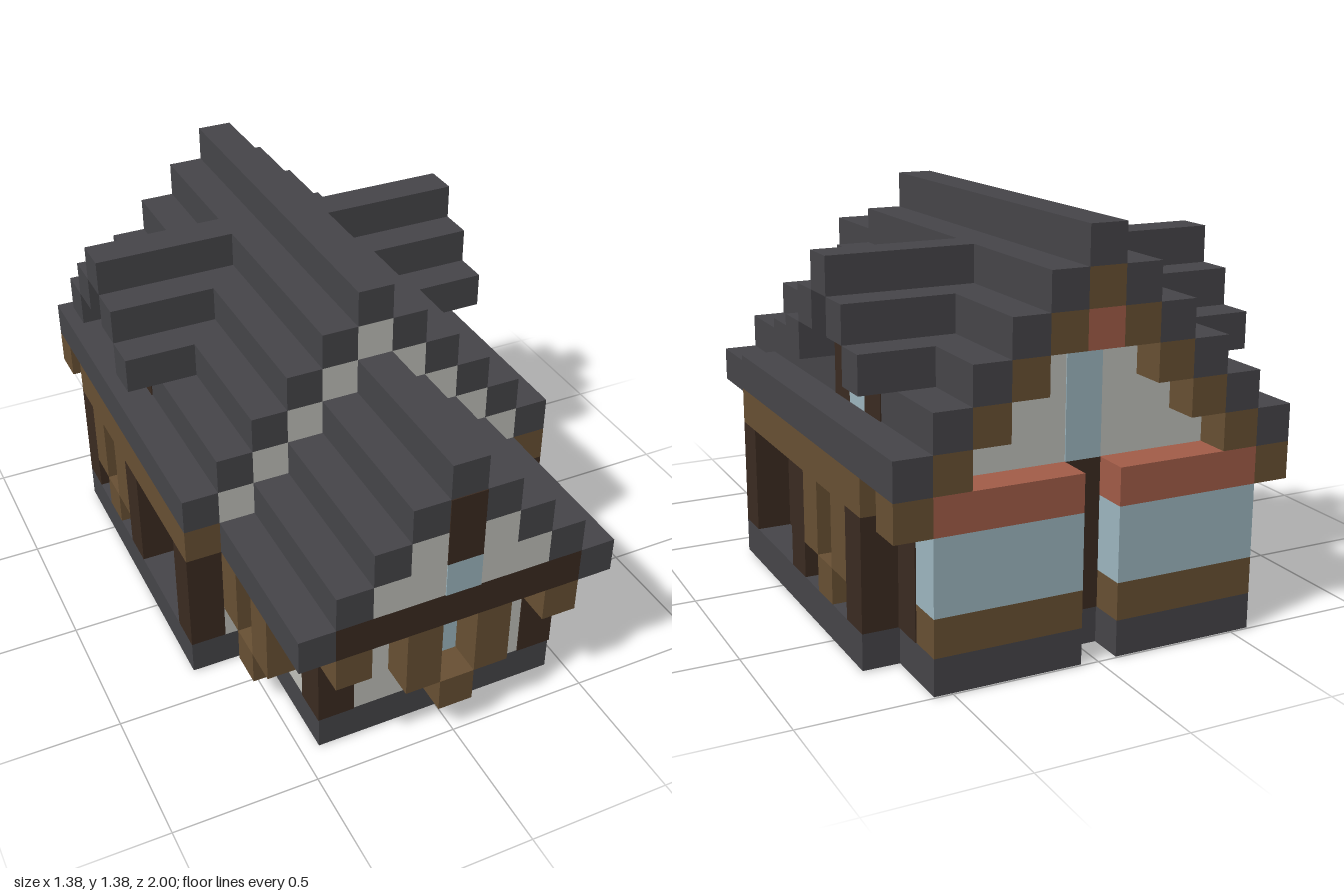
import * as THREE from 'three';

const U = 0.125; // one block
const P = 0.03;  // how far painted faces stand proud, in blocks

export function createModel() {
  const model = new THREE.Group();
  model.name = 'blockHouse';

  const mat = (name, color) => {
    const m = new THREE.MeshStandardMaterial({ color });
    m.name = name;
    return m;
  };
  const slate = mat('slate grey', 0x464549);
  const plaster = mat('plaster white', 0xc0c1bb);
  const timber = mat('timber brown', 0x685033);
  const dark = mat('dark timber', 0x3b2b21);
  const glass = mat('pale glass', 0x9eb7c0);
  const clay = mat('terracotta', 0xa25c48);

  // Box given by its limits in blocks
  const box = (name, m, x0, x1, y0, y1, z0, z1) => {
    const g = new THREE.BoxGeometry((x1 - x0) * U, (y1 - y0) * U, (z1 - z0) * U);
    g.translate((x0 + x1) / 2 * U, (y0 + y1) / 2 * U, (z0 + z1) / 2 * U);
    const mesh = new THREE.Mesh(g, m);
    mesh.name = name;
    model.add(mesh);
  };
  // Same box on both sides of the house
  const pair = (name, m, x0, x1, ...rest) => {
    box(name, m, x0, x1, ...rest);
    box(name, m, -x1, -x0, ...rest);
  };

  // Foundation and floors showing underneath
  box('foundation', slate, -5.5, 5.5, P, 1, -6, 3);
  box('foundation', slate, -4.5, 4.5, P, 1, -7, -6);
  box('wingFoundation', slate, -3.5, 3.5, P, 1, 3, 7);
  pair('bayFoundation', slate, 0.5, 4.5, P, 1, -8, -7);
  box('mainFloor', timber, -3.5, 3.5, 0, 0.5, -5, 1);
  box('wingFloor', timber, -2.5, 2.5, 0, 0.5, 3, 6);

  // Ground floor walls
  box('mainWall', plaster, -4.5, 4.5, 1, 5, -7, 3);
  box('wingWall', plaster, -3.5, 3.5, 1, 5, 2, 7);

  // Main gable and stepped roof with timber edge boards at the back
  for (let y = 5; y <= 10; y++) {
    const x = 10 - y;
    if (y < 10) box('mainGable', plaster, -(9.5 - y), 9.5 - y, y, y + 1, -7, 3);
    if (x === 0) {
      box('mainRidge', slate, -0.5, 0.5, y, y + 1, -8, 3);
      box('backEdgeBoard', timber, -0.5, 0.5, y - 1, y, -8, -7);
    } else {
      pair('mainRoofStep', slate, x - 0.5, x + 0.5, y, y + 1, -8, 3);
      pair('backEdgeBoard', timber, x - 0.5, x + 0.5, y - 1, y, -8, -7);
    }
  }
  box('backGableOrnament', clay, -0.5, 0.5, 8, 9, -8, -7);
  box('backGableWindow', glass, -0.5, 0.5, 5, 8, -7 - P, -6);
  pair('eaveBeam', timber, 4.5, 5.5, 4, 5, -6, 3);

  // Front wing gable and roof
  for (let y = 4; y <= 8; y++) {
    const x = 8 - y;
    if (y > 4 && y < 8) box('wingGable', plaster, -(7.5 - y), 7.5 - y, y, y + 1, 2, 8);
    if (x === 0) box('wingRidge', slate, -0.5, 0.5, y, y + 1, 3, 8);
    else pair('wingRoofStep', slate, x - 0.5, x + 0.5, y, y + 1, 3, 8);
  }
  box('frontBeam', dark, -3.5, 3.5, 4, 5, 7, 8);
  box('frontGablePost', dark, -0.5, 0.5, 6, 8, 7, 8 + P);
  box('frontGableWindow', glass, -0.5, 0.5, 5, 6, 7, 8 + P);

  // Wing corners and brackets under the jetty
  pair('wingPost', dark, 2.5, 3.5 + P, 1, 4, 6, 7 + P);
  pair('frontBracket', timber, 2.5, 3.5, 3, 4, 7, 8);

  // Front window with shutters and flower box
  box('frontWindow', glass, -0.5, 0.5, 2, 4, 6, 7 + P);
  pair('frontShutter', timber, 0.5, 1.5, 2, 4, 7, 8);
  box('frontFlowerBox', timber, -0.5, 0.5, 1, 2, 7, 8);

  // Side windows: on the wing and on the main house
  for (const [wall, z] of [[3.5, 4.5], [4.5, -3.5]]) {
    pair('sideWindow', glass, wall - 0.5, wall + P, 2, 4, z - 0.5, z + 0.5);
    pair('sideFlowerBox', timber, wall, wall + 1, 1, 2, z - 0.5, z + 0.5);
    for (const s of [-1, 1])
      pair('sideShutter', timber, wall, wall + 1, 2, 4, z + s - 0.5, z + s + 0.5);
  }

  // Posts along the sides
  for (const z of [2, -2, -6]) pair('sidePost', dark, 4.5, 5.5, 1, 4, z, z + 1);
  pair('innerPost', dark, 3.5, 4.5 + P, 1, 4, 1, 2);
  pair('rearPost', dark, 3.5, 4.5 + P, 1, 5, -7, -6);

  // Side dormers
  pair('dormerRidge', slate, 1.5, 5.5, 9, 10, -4, -3);
  pair('dormerGable', plaster, 1, 4.5, 8, 9, -4, -3);
  pair('dormerWindow', glass, 2, 4.5 + P, 6, 8, -4, -3);
  for (const s of [-1, 1]) {
    const c = -3.5 + s;
    pair('dormerPost', dark, 2, 4.5 + P, 6, 8, c - 0.5, c + 0.5);
    pair('dormerRoofStep', slate, 2.5, 5.5, 8, 9, c - 0.5, c + 0.5);
    pair('dormerRoofStep', slate, 3.5, 5.5, 7, 8, c + s - 0.5, c + s + 0.5);
  }

  // Glazed bays at the back with a post between them
  pair('baySill', timber, 0.5, 4.5, 1, 2, -8, -7);
  pair('bayGlass', glass, 0.5, 4.5, 2, 4, -8, -7);
  pair('bayRoof', clay, 0.5, 4.5, 4, 5, -8, -7);
  box('bayMiddlePost', dark, -0.5, 0.5, 1, 5, -7 - P, -6);

  return model;
}
